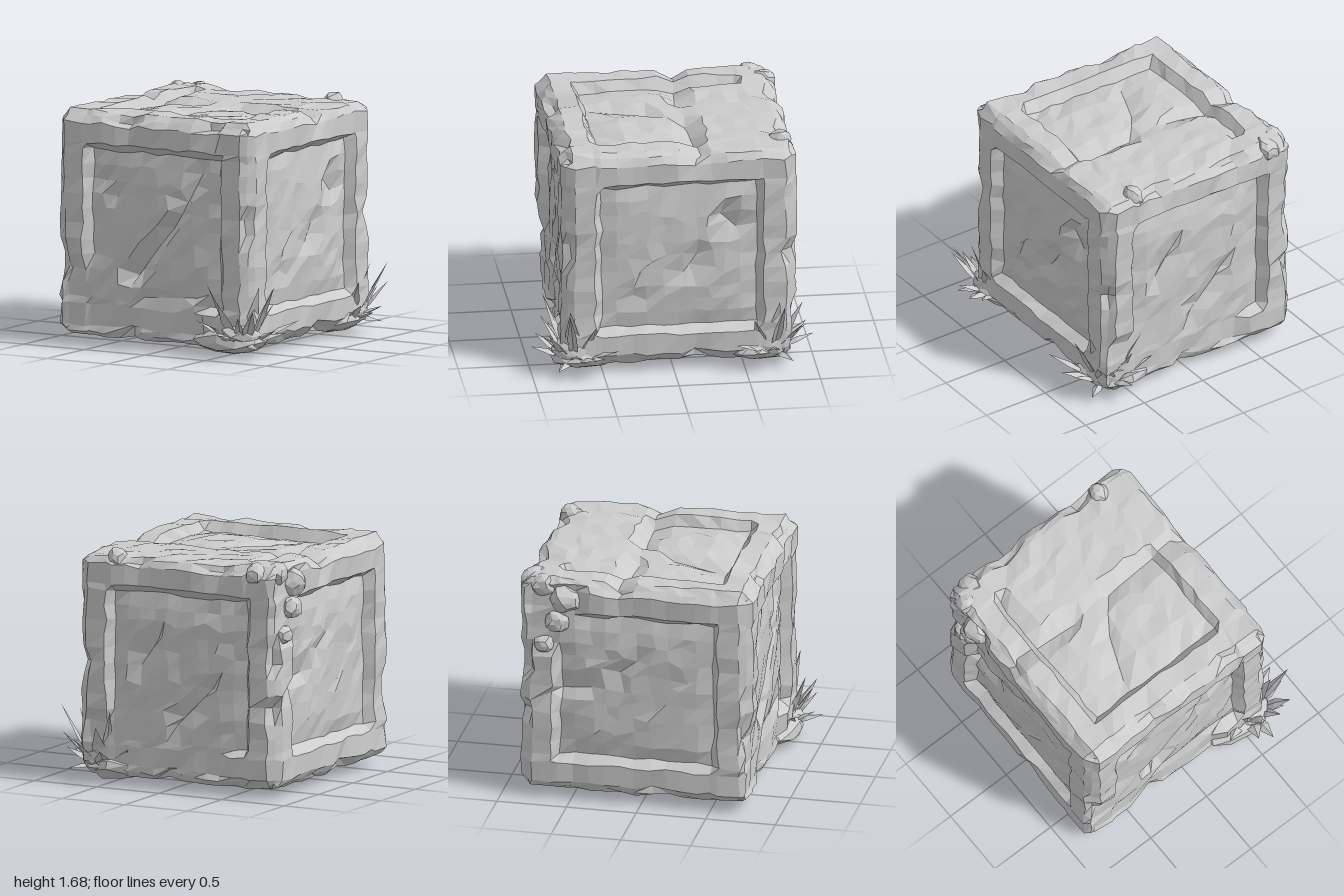
import * as THREE from 'three';

const stone = new THREE.MeshStandardMaterial({ color: 0xcccccc, flatShading: true });
const leaf = new THREE.MeshStandardMaterial({ color: 0xcccccc, flatShading: true, side: THREE.DoubleSide });

// Repeatable noise in -1..1, tied to a position so neighbouring faces stay joined
function noise(x, y, z, k) {
  const s = Math.sin(x * 127.1 + y * 311.7 + z * 74.7 + k * 53.3) * 43758.5453;
  return 2 * (s - Math.floor(s)) - 1;
}

const CENTRE = [-0.07, 0.85, -0.04];
const HALF = [0.8, 0.8, 0.83];

// Grid lines across a block face: chamfer, frame, groove, panel
const side = [0.14, 0.27, 0.4, 0.53, 0.66, 0.72, 0.9, 1];
const LINES = [...side.map((v) => -v).reverse(), 0, ...side];

// Per face: broken frame areas and cracks [u1, v1, u2, v2, depth] (u, v run -1..1)
const FACES = {
  front: {
    broken: (u, v) => v < -0.34 && u < 0.5,
    cracks: [[0.46, 0.55, 0.25, 0.15, 0.05], [0.25, 0.15, -0.28, -0.5, 0.07],
      [-0.55, 0.4, -0.36, 0.2, 0.04], [-0.15, -0.62, 0.5, -0.58, 0.03]],
  },
  back: {
    broken: (u, v) => v < -0.42 && u > -0.5,
    cracks: [[-0.35, -0.1, 0.05, -0.5, 0.04], [0.2, 0.3, 0.45, -0.05, 0.04]],
  },
  right: {
    broken: () => false,
    cracks: [[0.04, 0.18, 0.25, 0.52, 0], [-0.02, -0.2, -0.24, 0.12, 0.04],
      [0.53, -0.3, 0.2, -0.45, 0.03], [-0.3, 0.42, -0.52, 0.2, 0.05]],
  },
  left: {
    broken: (u, v) => u < -0.5 && v > 0.35,
    cracks: [[-0.9, -0.1, -0.35, -0.02, 0.05], [0.1, 0.35, -0.2, 0.1, 0.03]],
  },
  top: {
    broken: (u, v) => v < -0.2 && u > -0.6,
    cracks: [[-0.95, -0.17, -0.2, -0.1, 0.04], [0.14, -0.14, 0.95, -0.2, 0.05],
      [-0.28, 0.6, -0.08, 0.12, 0.04]],
  },
  bottom: { broken: () => false, cracks: [[-0.2, 0.1, 0.15, -0.05, 0.04]] },
};

// Chips along the block's edges
const NOTCHES = [[-0.32, 1, 1], [0.57, 1, 1], [-1, -0.34, 1], [1, 0.07, 1], [-0.28, -1, 1],
  [1, 1, -0.16], [-1, 1, -0.16], [1, 0, -1], [0.45, 1, -1], [-0.35, 1, -1], [-1, 0.2, -1],
  [-1, -0.3, -1], [0.1, -1, -1], [1, -1, -0.16], [-1, -1, 0.2]];

// Depth of the raised frame, groove and pillowed panel
function relief(face, u, v) {
  const m = Math.max(Math.abs(u), Math.abs(v));
  if (face.broken(u, v)) return face === FACES.top ? -0.02 : -0.05;
  if (m > 0.7) return 0;
  return m > 0.6 ? -0.075 : m > 0.5 ? -0.055 : -0.045;
}

function buildBlock() {
  const n = LINES.length - 1;
  const geo = new THREE.BoxGeometry(2, 2, 2, n, n, n);
  const pos = geo.attributes.position;
  const nor = geo.attributes.normal;
  for (let i = 0; i < pos.count; i++) {
    const t = [pos.getX(i), pos.getY(i), pos.getZ(i)].map((c) => LINES[Math.round((c + 1) / 2 * n)]);
    const nv = [nor.getX(i), nor.getY(i), nor.getZ(i)];
    const axis = nv.findIndex((c) => Math.abs(c) > 0.5);
    const sign = Math.sign(nv[axis]);
    const [ua, va] = [[2, 1], [0, 2], [0, 1]][axis];
    const name = [['left', 'right'], ['bottom', 'top'], ['back', 'front']][axis][sign > 0 ? 1 : 0];
    const p = t.slice();
    const rims = t.filter((c) => Math.abs(c) === 1).length;

    if (rims > 1) {
      // Chamfered edges and corners
      for (let a = 0; a < 3; a++) {
        if (Math.abs(t[a]) === 1) p[a] *= (rims === 3 ? 0.93 : 0.955) + 0.015 * noise(...t, a);
        else p[a] += 0.02 * noise(...t, a);
      }
    } else {
      const face = FACES[name];
      let u = t[ua], v = t[va];
      let h = relief(face, u, v) + 0.01 * noise(...t, 3);
      const m = Math.max(Math.abs(u), Math.abs(v));
      const jitter = m < 0.5 ? 0.045 : 0.015;
      u += jitter * noise(...t, 1);
      v += jitter * noise(...t, 2);
      // Pull nearby points onto each crack and sink them
      for (const [x1, y1, x2, y2, depth] of face.cracks) {
        const dx = x2 - x1, dy = y2 - y1;
        const k = ((t[ua] - x1) * dx + (t[va] - y1) * dy) / (dx * dx + dy * dy);
        if (k < 0 || k > 1) continue;
        const cx = x1 + k * dx, cy = y1 + k * dy;
        if (Math.hypot(t[ua] - cx, t[va] - cy) < 0.07) {
          u = cx;
          v = cy;
          h -= depth;
        }
      }
      p[ua] = u;
      p[va] = v;
      p[axis] = sign * (1 + h / 0.8);
    }

    // Chips pull the rim inwards
    for (const c of NOTCHES) {
      const w = 1 - Math.hypot(t[0] - c[0], t[1] - c[1], t[2] - c[2]) / 0.17;
      if (w > 0) for (let a = 0; a < 3; a++) if (Math.abs(c[a]) === 1) p[a] *= 1 - 0.07 * w;
    }
    pos.setXYZ(i, ...p.map((c, a) => CENTRE[a] + c * HALF[a]));
  }
  geo.computeVertexNormals();
  return geo;
}

// Rough lump: a jittered icosahedron
function lump(name, centre, size, seed) {
  const geo = new THREE.IcosahedronGeometry(1, 1);
  const pos = geo.attributes.position;
  for (let i = 0; i < pos.count; i++) {
    const q = [pos.getX(i), pos.getY(i), pos.getZ(i)].map((c) => Math.round(c * 100) / 100 + 0);
    const r = 1 + 0.14 * noise(...q, seed);
    pos.setXYZ(i, ...q.map((c, a) => centre[a] + c * size[a] * r));
  }
  geo.computeVertexNormals();
  const mesh = new THREE.Mesh(geo, stone);
  mesh.name = name;
  return mesh;
}

// Folded pointed grass blade from root to tip
function blade(root, tip, width) {
  const a = new THREE.Vector3(...root), b = new THREE.Vector3(...tip);
  const dir = b.clone().sub(a);
  const across = new THREE.Vector3(-dir.z, 0, dir.x).normalize().multiplyScalar(width);
  const mid = a.clone().lerp(b, 0.5);
  const ridge = mid.clone().add(new THREE.Vector3(0, 0.025, 0));
  const l = mid.clone().add(across), r = mid.clone().sub(across);
  const la = a.clone().addScaledVector(across, 0.7), ra = a.clone().addScaledVector(across, -0.7);
  const geo = new THREE.BufferGeometry().setFromPoints(
    [a, la, l, a, l, ridge, a, r, ra, a, ridge, r, ridge, l, b, ridge, b, r]);
  geo.computeVertexNormals();
  const mesh = new THREE.Mesh(geo, leaf);
  mesh.name = 'grassBlade';
  return mesh;
}

// Blade tips around the front corner
const TIPS = [[0.92, 0.52, 0.76], [0.83, 0.35, 0.9], [0.91, 0.17, 0.57], [0.91, 0.24, 0.41],
  [0.9, 0.2, 0.71], [0.78, 0.5, 0.74], [0.72, 0.3, 0.93], [0.6, 0.18, 1], [0.5, 0.24, 0.96],
  [0.45, 0.52, 0.9], [0.33, 0.25, 0.85], [0.55, 0.4, 0.93], [0.83, 0.07, 0.83], [0.8, 0.38, 0.56]];

function tuft(name, s) {
  const group = new THREE.Group();
  group.name = name;
  group.add(lump('soilMound', [0.5, 0.1, s * 0.62], [0.27, 0.1, 0.25], 4));
  group.add(lump('soilClod', [0.62, 0.15, s * 0.7], [0.15, 0.11, 0.14], 6));
  TIPS.forEach(([x, y, z], i) => {
    const root = [0.62 + (x - 0.65) * 0.25, 0.09, s * (0.7 + (z - 0.75) * 0.25)];
    group.add(blade(root, [x, y, s * z], 0.035 + 0.008 * (i % 3)));
  });
  return group;
}

export function createModel() {
  const model = new THREE.Group();
  model.name = 'stoneBlock';
  const block = new THREE.Mesh(buildBlock(), stone);
  block.name = 'block';
  model.add(block);

  // Crumbled stone at the upper back corner
  const rubble = new THREE.Group();
  rubble.name = 'rubble';
  [[-0.83, 1.5, -0.55, 0.09], [-0.84, 1.33, -0.6, 0.07], [-0.78, 1.58, -0.72, 0.08],
    [-0.68, 1.58, -0.8, 0.08], [-0.83, 1.15, -0.7, 0.06], [0.45, 1.6, -0.78, 0.07]]
    .forEach(([x, y, z, r], i) => rubble.add(lump('chunk', [x, y, z], [r, r * 1.1, r * 1.2], i)));
  model.add(rubble);

  model.add(tuft('frontGrass', 1), tuft('backGrass', -1));
  return model;
}
